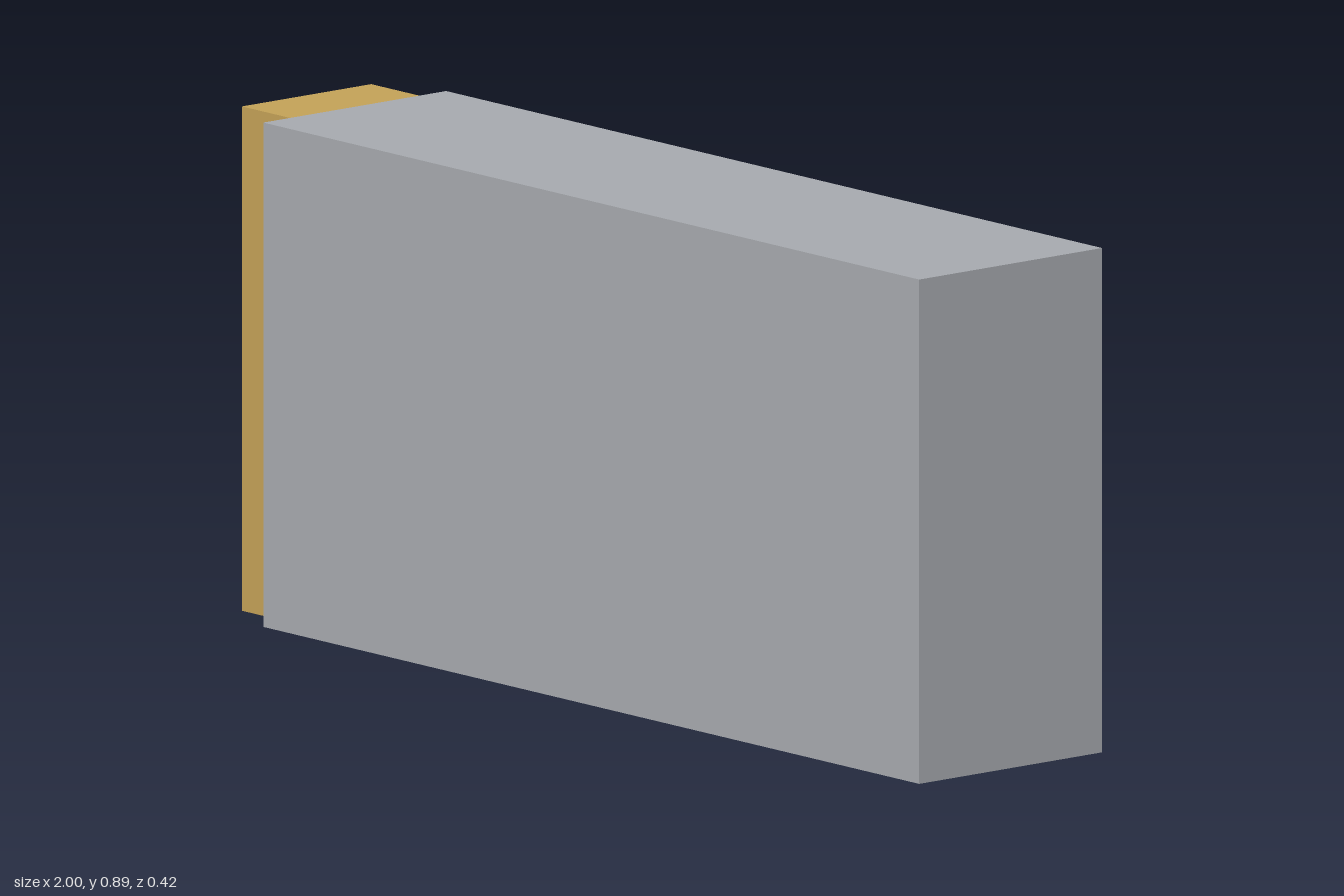
import * as THREE from 'three';

function material(name, color) {
  const m = new THREE.MeshStandardMaterial({ color });
  m.name = name;
  return m;
}

// Box given by its extents along each axis
function box(name, mat, [x0, x1], [y0, y1], [z0, z1]) {
  const mesh = new THREE.Mesh(new THREE.BoxGeometry(x1 - x0, y1 - y0, z1 - z0), mat);
  mesh.name = name;
  mesh.position.set((x0 + x1) / 2, (y0 + y1) / 2, (z0 + z1) / 2);
  return mesh;
}

export function createModel() {
  const grey = material('grey casing', 0xa7aaaf);
  const gold = material('gold', 0xc4a257);
  const red = material('red', 0xc94c45);
  const black = material('black', 0x363636);

  const group = new THREE.Group();
  group.name = 'batteryPack';
  const height = [0, 0.893];

  group.add(
    // Main block and the narrower end cap
    box('casing', grey, [-0.757, 1], height, [-0.208, 0.208]),
    box('endCap', gold, [-0.886, -0.757], height, [-0.147, 0.147]),
    // Two leads leaving the end cap
    box('redLead', red, [-1, -0.886], [0.511, 0.57], [-0.046, 0.014]),
    box('blackLead', black, [-1, -0.886], [0.329, 0.388], [-0.046, 0.014])
  );
  return group;
}
